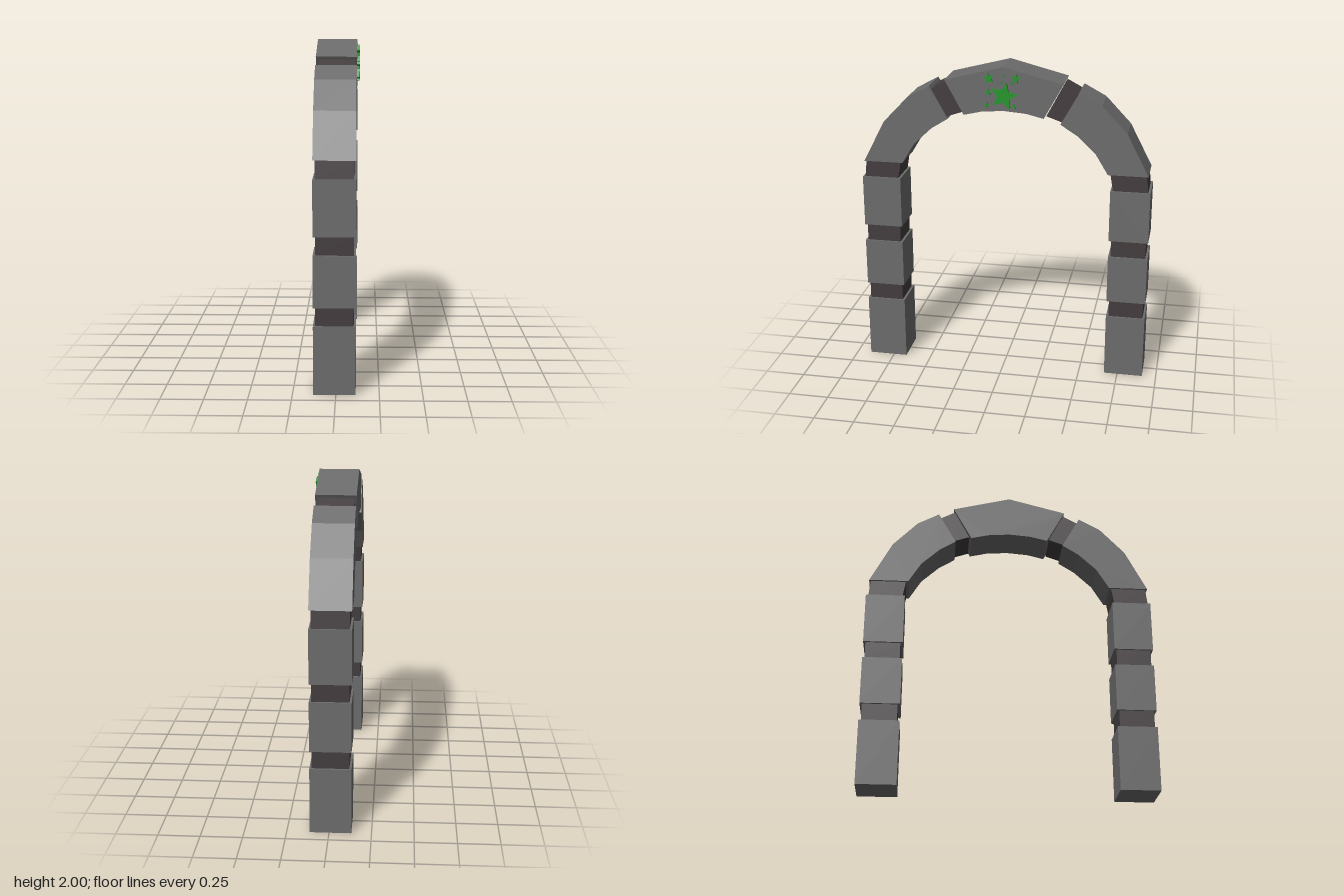
import * as THREE from 'three';

const stone = new THREE.MeshStandardMaterial({ color: 0x6c6c6c, flatShading: true });
const mortar = new THREE.MeshStandardMaterial({ color: 0x433c3e, flatShading: true });
const green = new THREE.MeshStandardMaterial({ color: 0x22962a, flatShading: true });

// Extrudes a [z, y] outline across the arch, from x0 to x1.
function slab(name, points, x0, x1, material) {
  const shape = new THREE.Shape(points.map(([z, y]) => new THREE.Vector2(z, y)));
  const geometry = new THREE.ExtrudeGeometry(shape, { depth: x1 - x0, bevelEnabled: false });
  geometry.rotateY(-Math.PI / 2).translate(x1, 0, 0);
  const mesh = new THREE.Mesh(geometry, material);
  mesh.name = name;
  return mesh;
}

const block = (name, points) => slab(name, points, -0.131, 0.114, stone);
const joint = (name, points) => slab(name, points, -0.118, 0.102, mortar);
const rect = (z0, z1, y0, y1) => [[z0, y0], [z1, y0], [z1, y1], [z0, y1]];

// Five-pointed star outline; tilt is the angle of one tip.
function star(z, y, r, tilt) {
  return Array.from({ length: 10 }, (_, i) => {
    const a = tilt + i * Math.PI / 5;
    const d = i % 2 ? r * 0.48 : r;
    return [z - d * Math.cos(a), y + d * Math.sin(a)];
  });
}

export function createModel() {
  const arch = new THREE.Group();
  arch.name = 'arch';

  // Pillars and curved shoulders, mirrored front to back
  for (const [side, s] of [['front', 1], ['back', -1]]) {
    const half = new THREE.Group();
    half.name = side + 'Half';
    const flip = (pts) => pts.map(([z, y]) => [z * s, y]);

    for (const [y0, y1] of [[0, 0.405], [0.513, 0.817], [0.925, 1.252]])
      half.add(block('pillarStone', flip(rect(0.665, 0.911, y0, y1))));
    for (const [y0, y1] of [[0.405, 0.513], [0.817, 0.925]])
      half.add(joint('pillarJoint', flip(rect(0.68, 0.897, y0, y1))));

    half.add(joint('springJoint', flip([[0.68, 1.252], [0.897, 1.252], [0.885, 1.358], [0.662, 1.358]])));
    half.add(block('shoulderStone', flip([
      [0.896, 1.357], [0.758, 1.622], [0.6, 1.788], [0.463, 1.862],
      [0.35, 1.66], [0.453, 1.595], [0.568, 1.487], [0.647, 1.357],
    ])));
    half.add(joint('crownJoint', flip([[0.451, 1.84], [0.359, 1.889], [0.262, 1.705], [0.357, 1.672]])));
    arch.add(half);
  }

  // Keystone
  arch.add(block('keystone', [
    [0.366, 1.906], [0, 2], [-0.366, 1.906],
    [-0.248, 1.691], [-0.138, 1.717], [0, 1.728], [0.138, 1.717], [0.248, 1.691],
  ]));

  // Star ornaments on the keystone: z, y, radius, tilt
  const stars = new THREE.Group();
  stars.name = 'stars';
  const layout = [
    [-0.003, 1.822, 0.084, 1.36], [0.088, 1.928, 0.033, 1.75], [-0.077, 1.932, 0.029, 1.4],
    [0.091, 1.841, 0.02, 1.6], [0.101, 1.762, 0.017, 1.3], [-0.067, 1.76, 0.015, 1.7],
    [-0.003, 1.95, 0.007, 1.5], [0.014, 1.905, 0.007, 1.5], [-0.053, 1.902, 0.007, 1.5],
  ];
  for (const [z, y, r, tilt] of layout)
    stars.add(slab('star', star(z, y, r, tilt), 0.105, 0.13, green));
  arch.add(stars);

  return arch;
}
